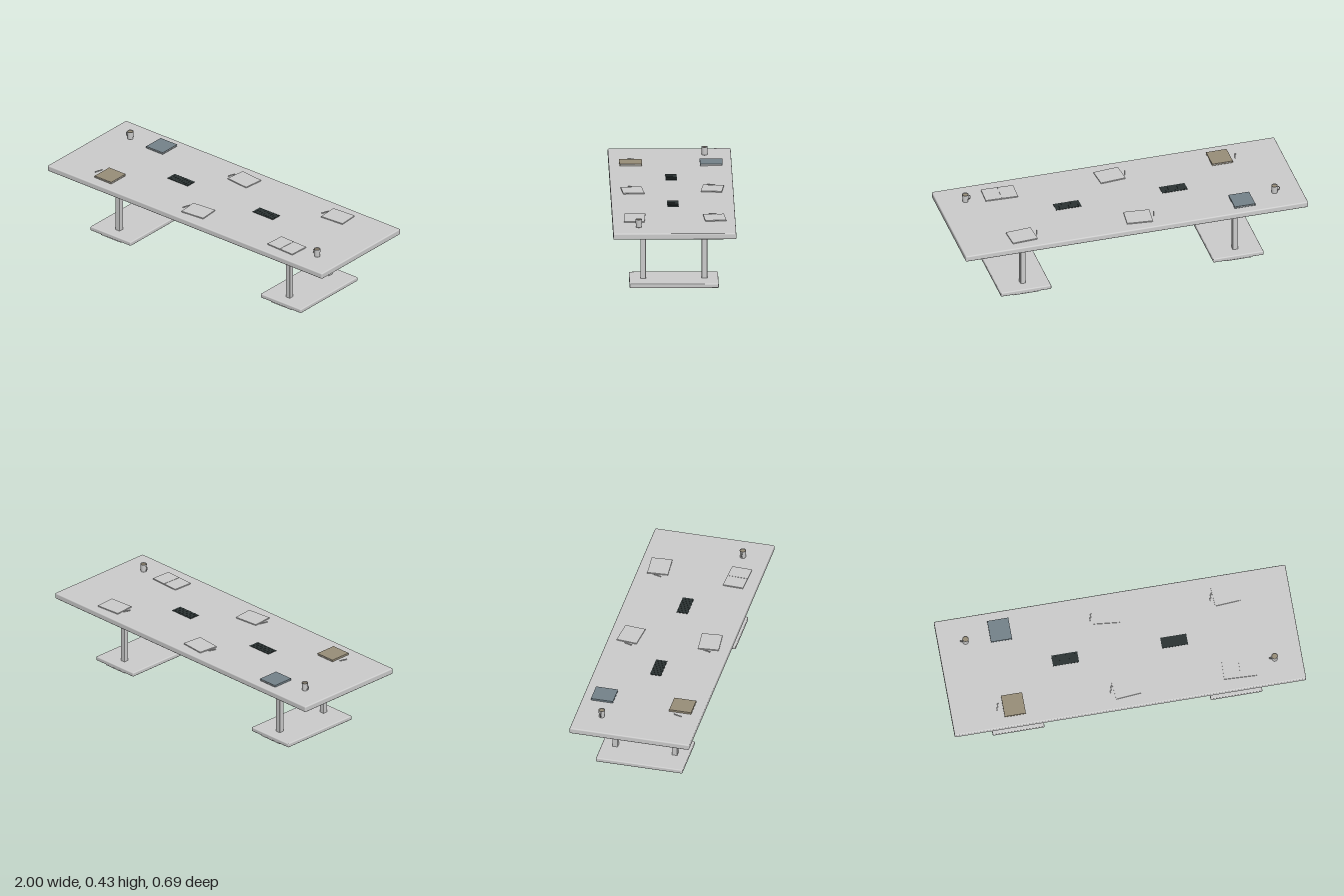
import * as THREE from 'three';
import { RoundedBoxGeometry } from 'three/addons/geometries/RoundedBoxGeometry.js';

const TOP = 0.378; // height of the table surface

export function createModel() {
  const model = new THREE.Group();
  model.name = 'conferenceTable';
  const material = (name, color) => Object.assign(new THREE.MeshStandardMaterial({ color }), { name });
  const grey = material('lightGrey', 0xcccccc);
  const blue = material('slateBlue', 0x74828a);
  const tan = material('tan', 0x988e79);
  const dark = material('charcoal', 0x2b3333);

  function add(name, geometry, mat, x, y, z, parent = model) {
    const mesh = new THREE.Mesh(geometry, mat);
    mesh.name = name;
    mesh.position.set(x, y, z);
    parent.add(mesh);
    return mesh;
  }
  // Box given by its bottom height; a radius rounds the edges
  function block(name, mat, [w, h, d], x, y, z, radius = 0, parent = model) {
    const geometry = radius ? new RoundedBoxGeometry(w, h, d, 3, radius) : new THREE.BoxGeometry(w, h, d);
    return add(name, geometry, mat, x, y + h / 2, z, parent);
  }
  function group(name, x, y, z, turn = 0) {
    const g = new THREE.Group();
    g.name = name;
    g.position.set(x, y, z);
    g.rotation.y = turn;
    model.add(g);
    return g;
  }

  // Table
  block('tabletop', grey, [2, 0.035, 0.69], 0, 0.343, 0, 0.007);
  block('underFrame', grey, [1.71, 0.031, 0.334], 0, 0.312, 0, 0.006);
  for (const sx of [-1, 1]) {
    block('basePlate', grey, [0.295, 0.025, 0.5], sx * 0.62, 0.005, 0, 0.006);
    for (const sz of [-1, 1]) {
      block('leg', grey, [0.03, 0.305, 0.031], sx * 0.62, 0.028, sz * 0.172, 0.003);
      block('footPad', grey, [0.145, 0.006, 0.07], sx * 0.62, 0, sz * 0.21);
    }
  }

  // Cable boxes with raised ribs
  for (const x of [-0.312, 0.308]) {
    block('cableBox', dark, [0.148, 0.002, 0.064], x, TOP, 0);
    for (let i = 0; i < 8; i++) {
      block('cableBoxRib', dark, [0.009, 0.001, 0.06], x - 0.063 + i * 0.018, TOP + 0.002, 0);
    }
  }

  // Closed books: covers around a page block
  for (const [mat, x, z] of [[blue, -0.645, -0.23], [tan, -0.645, 0.222]]) {
    const book = group('book', x, TOP, z);
    block('backCover', mat, [0.12, 0.002, 0.127], 0, 0, 0, 0, book);
    block('pages', grey, [0.114, 0.007, 0.121], 0.001, 0.002, 0, 0, book);
    block('frontCover', mat, [0.12, 0.003, 0.127], 0, 0.008, 0, 0, book);
    block('spine', mat, [0.003, 0.009, 0.127], -0.0585, 0.001, 0, 0, book);
  }

  // Writing pads
  for (const [x, z, turn] of [[-0.04, -0.227, -0.1], [0.64, -0.229, 0.07], [-0.003, 0.222, 0.09]]) {
    block('writingPad', grey, [0.147, 0.006, 0.118], x, TOP, z).rotation.y = turn;
  }

  // Open notebook
  const notebook = group('openNotebook', 0.64, TOP, 0.22, -0.04);
  for (const s of [-1, 1]) block('notebookPage', grey, [0.092, 0.006, 0.116], s * 0.047, 0, 0, 0, notebook);
  block('notebookSpine', grey, [0.006, 0.004, 0.116], 0, 0, 0, 0, notebook);

  // Pens
  for (const [x, z] of [[-0.13, -0.222], [0.553, -0.222], [-0.09, 0.222], [-0.735, 0.215]]) {
    const pen = group('pen', x, TOP + 0.003, z, -0.3);
    add('penBarrel', new THREE.CylinderGeometry(0.003, 0.003, 0.042, 10), grey, 0, 0, 0.002, pen).rotation.x = Math.PI / 2;
    add('penTip', new THREE.ConeGeometry(0.003, 0.008, 10), grey, 0, 0, -0.023, pen).rotation.x = -Math.PI / 2;
  }

  // Mugs with a handle toward -x
  const cup = [[0, 0], [0.0155, 0], [0.016, 0.002], [0.018, 0.046], [0.0175, 0.047], [0.0165, 0.046], [0.016, 0.04]]
    .map(([r, y]) => new THREE.Vector2(r, y));
  for (const [x, z] of [[-0.845, -0.196], [0.845, 0.2]]) {
    const mug = group('mug', x, TOP, z);
    const body = add('mugBody', new THREE.LatheGeometry(cup, 32), grey, 0, 0, 0, mug);
    body.name = 'mugBody';
    add('drink', new THREE.CircleGeometry(0.0166, 32), tan, 0, 0.042, 0, mug).rotation.x = -Math.PI / 2;
    const handle = add('mugHandle', new THREE.TorusGeometry(0.013, 0.0025, 8, 20, Math.PI), grey, -0.016, 0.024, 0, mug);
    handle.rotation.z = Math.PI / 2;
  }
  return model;
}
